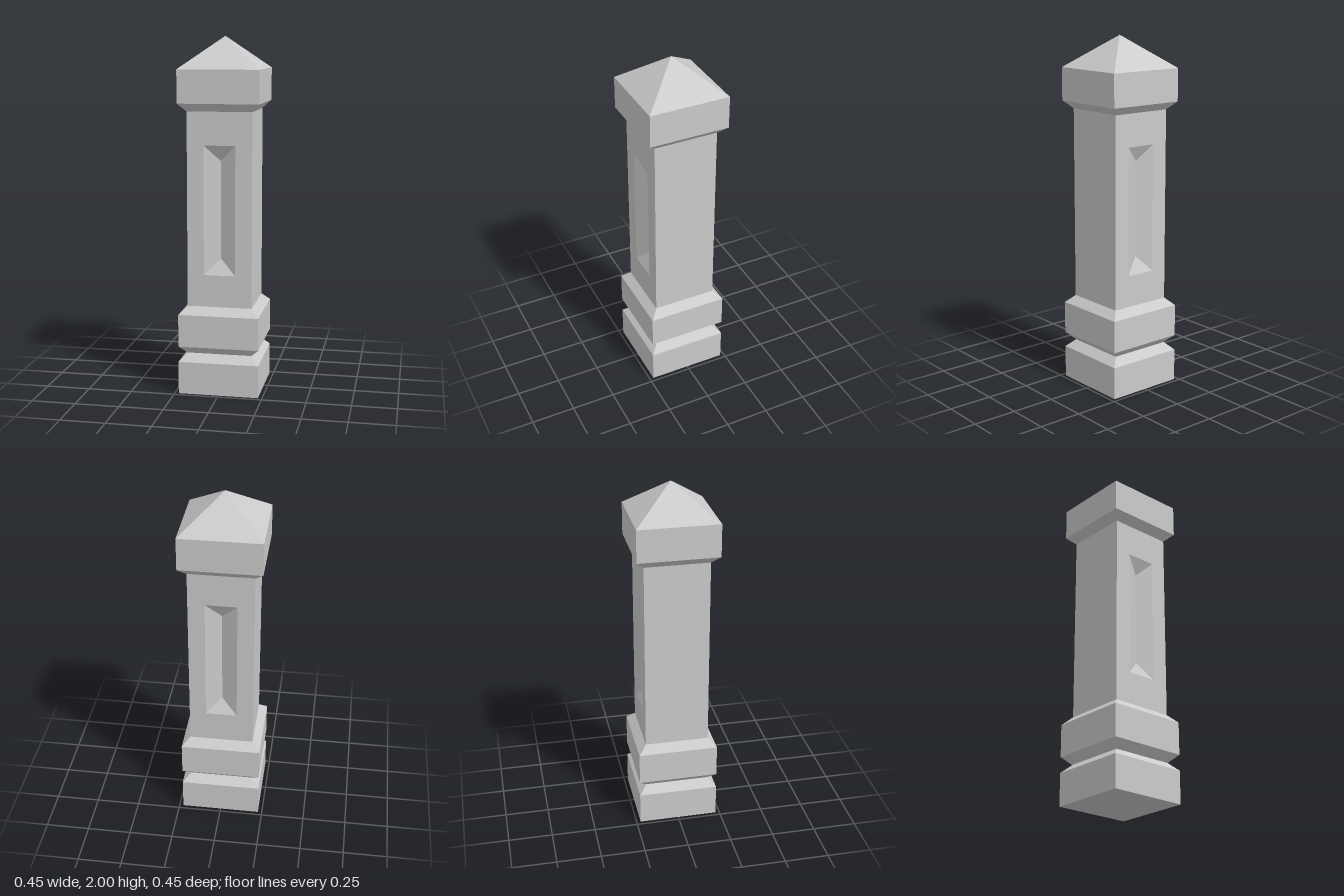
import * as THREE from 'three';

const material = new THREE.MeshStandardMaterial({ color: 0xcccccc, flatShading: true });

const SHAFT = 0.182, BLOCK = 0.227;      // half widths
const SHAFT_Y0 = 0.502, SHAFT_Y1 = 1.594;
const RECESS = { w: 0.0885, y0: 0.683, y1: 1.409, ridge0: 0.773, ridge1: 1.32, depth: 0.045 };

function addMesh(parent, name, geometry) {
  const mesh = new THREE.Mesh(geometry, material);
  mesh.name = name;
  parent.add(mesh);
  return mesh;
}

// Square moulding from [halfWidth, y] pairs listed bottom to top
function squareTurned(profile) {
  const points = profile.map(([h, y]) => new THREE.Vector2(h * Math.SQRT2, y));
  const g = new THREE.LatheGeometry(points, 4, Math.PI / 4).toNonIndexed();
  g.computeVertexNormals();
  return g;
}

// Flat shaft wall facing +z with an opening for the recess
function panelWall() {
  const { w, y0, y1 } = RECESS;
  const rect = (Type, h, a, b) => new Type([
    new THREE.Vector2(-h, a), new THREE.Vector2(h, a),
    new THREE.Vector2(h, b), new THREE.Vector2(-h, b),
  ]);
  const shape = rect(THREE.Shape, SHAFT, SHAFT_Y0, SHAFT_Y1);
  shape.holes.push(rect(THREE.Path, w, y0, y1));
  return new THREE.ShapeGeometry(shape).translate(0, 0, SHAFT);
}

// Hipped sinking: four slopes running in to a vertical valley line
function recessSlopes() {
  const { w, y0, y1, ridge0, ridge1, depth } = RECESS;
  const z = SHAFT, d = SHAFT - depth;
  const lb = [-w, y0, z], rb = [w, y0, z], rt = [w, y1, z], lt = [-w, y1, z];
  const vb = [0, ridge0, d], vt = [0, ridge1, d];
  const triangles = [
    lb, vb, vt, lb, vt, lt,   // left slope
    rb, rt, vt, rb, vt, vb,   // right slope
    lb, rb, vb,               // bottom slope
    lt, vt, rt,               // top slope
  ];
  const g = new THREE.BufferGeometry();
  g.setAttribute('position', new THREE.Float32BufferAttribute(triangles.flat(), 3));
  g.computeVertexNormals();
  return g;
}

export function createModel() {
  const group = new THREE.Group();
  group.name = 'stonePost';

  // Two stacked chamfered blocks with a groove between them
  addMesh(group, 'base', squareTurned([
    [0, 0], [BLOCK, 0], [BLOCK, 0.185], [SHAFT, 0.229], [BLOCK, 0.274],
    [BLOCK, 0.458], [SHAFT, SHAFT_Y0],
  ]));

  // Shaft: sunk panels front and back, plain sides
  const shaft = new THREE.Group();
  shaft.name = 'shaft';
  group.add(shaft);
  const wall = panelWall(), slopes = recessSlopes();
  const side = new THREE.PlaneGeometry(SHAFT * 2, SHAFT_Y1 - SHAFT_Y0)
    .translate(0, (SHAFT_Y0 + SHAFT_Y1) / 2, SHAFT);
  for (const [label, angle] of [['front', 0], ['back', Math.PI]]) {
    addMesh(shaft, label + 'Wall', wall).rotation.y = angle;
    addMesh(shaft, label + 'Recess', slopes).rotation.y = angle;
  }
  for (const [label, angle] of [['left', Math.PI / 2], ['right', -Math.PI / 2]]) {
    addMesh(shaft, label + 'Wall', side).rotation.y = angle;
  }

  // Flared cap with a pyramid top
  addMesh(group, 'cap', squareTurned([
    [SHAFT, SHAFT_Y1], [BLOCK, 1.638], [BLOCK, 1.822], [0, 2],
  ]));

  return group;
}
